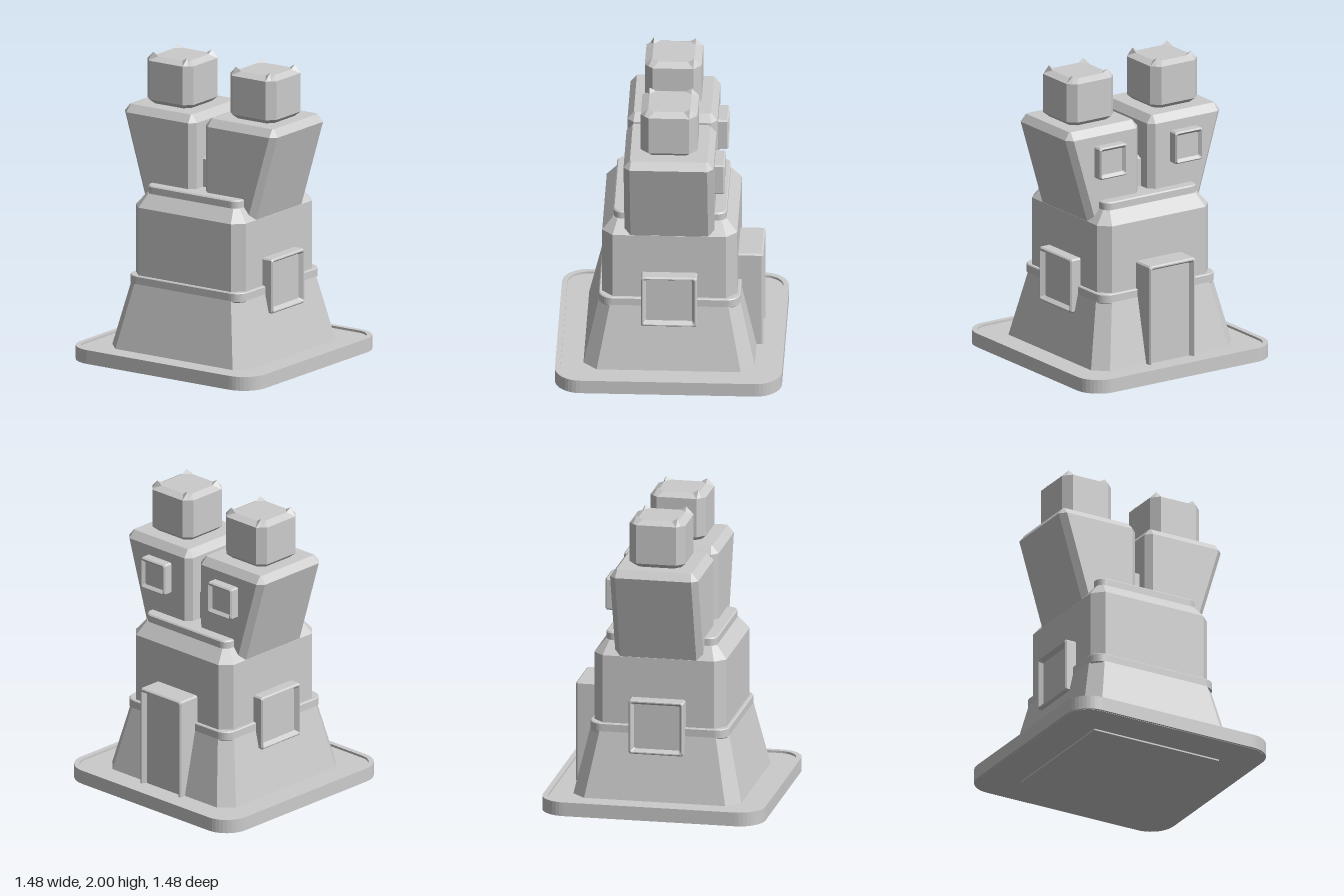
import * as THREE from 'three';

const material = new THREE.MeshStandardMaterial({ color: 0xcccccc, flatShading: true });

// Rectangle with cut corners at height y, three points per corner.
// A lift raises the corner points into peaks.
function ring(y, hx, z0, z1, c, lift = 0) {
  const zc = (z0 + z1) / 2, hz = (z1 - z0) / 2, pts = [];
  const m = lift ? 0 : c / 2;
  for (const [sx, sz] of [[1, 1], [1, -1], [-1, -1], [-1, 1]]) {
    const a = new THREE.Vector3(sx * (hx - c), y, zc + sz * hz);
    const mid = new THREE.Vector3(sx * (hx - m), y + lift, zc + sz * (hz - m));
    const b = new THREE.Vector3(sx * hx, y, zc + sz * (hz - c));
    pts.push(...(sx * sz > 0 ? [a, mid, b] : [b, mid, a]));
  }
  return pts;
}

// Skin a stack of rings and cap both ends.
function loft(rings) {
  const tris = [], n = rings[0].length;
  for (let k = 0; k < rings.length - 1; k++) {
    const lo = rings[k], hi = rings[k + 1];
    for (let i = 0; i < n; i++) {
      const j = (i + 1) % n;
      tris.push(lo[i], lo[j], hi[j], lo[i], hi[j], hi[i]);
    }
  }
  const first = rings[0], last = rings[rings.length - 1];
  for (let i = 1; i < n - 1; i++) {
    tris.push(last[0], last[i], last[i + 1], first[0], first[i + 1], first[i]);
  }
  const g = new THREE.BufferGeometry().setFromPoints(tris);
  g.computeVertexNormals();
  return g;
}

function roundedRect(h, r, Type = THREE.Shape) {
  const s = new Type();
  s.moveTo(-h + r, -h);
  s.lineTo(h - r, -h);
  s.absarc(h - r, -h + r, r, -Math.PI / 2, 0);
  s.lineTo(h, h - r);
  s.absarc(h - r, h - r, r, 0, Math.PI / 2);
  s.lineTo(-h + r, h);
  s.absarc(-h + r, h - r, r, Math.PI / 2, Math.PI);
  s.lineTo(-h, -h + r);
  s.absarc(-h + r, -h + r, r, Math.PI, Math.PI * 1.5);
  return s;
}

// Rounded square slab from y0 to y1, optionally with a square opening.
function slab(h, r, y0, y1, bevel = 0, hole = 0) {
  const s = roundedRect(h - bevel, r - bevel);
  if (hole) s.holes.push(roundedRect(hole, r - (h - hole), THREE.Path));
  const g = new THREE.ExtrudeGeometry(s, {
    depth: y1 - y0 - 2 * bevel, curveSegments: 5, bevelEnabled: bevel > 0,
    bevelSize: bevel, bevelThickness: bevel, bevelSegments: 1,
  });
  return g.rotateX(-Math.PI / 2).translate(0, y0 + bevel, 0);
}

// Framed panel lying flat, its sunken face pointing up (+y).
function framedPanel(hx, hz, depth, rim, sink) {
  const r = (y, inset, c) => ring(y, hx - inset, -hz + inset, hz - inset, c);
  return loft([
    r(0, 0, 0.01), r(depth - 0.01, 0, 0.01), r(depth, 0.008, 0.01),
    r(depth, rim, 0.008), r(depth - sink, rim + 0.018, 0.006),
  ]);
}

export function createModel() {
  const model = new THREE.Group();
  const add = (name, geometry, parent = model) => {
    const m = new THREE.Mesh(geometry, material);
    m.name = name;
    parent.add(m);
    return m;
  };

  // Ground plate with a raised rim and a square foot
  add('foot', new THREE.BoxGeometry(0.94, 0.03, 0.94).translate(0, 0.015, 0));
  add('basePlate', slab(0.725, 0.155, 0.01, 0.09));
  add('baseRim', slab(0.74, 0.17, 0.012, 0.105, 0, 0.705));

  // Flared skirt, band and main body
  add('skirt', loft([
    ring(0.06, 0.565, -0.565, 0.565, 0.09),
    ring(0.52, 0.462, -0.462, 0.462, 0.075),
  ]));
  add('band', slab(0.462, 0.09, 0.51, 0.575, 0.006));
  add('body', loft([
    ring(0.55, 0.44, -0.44, 0.44, 0.07),
    ring(1.03, 0.44, -0.44, 0.44, 0.07),
    ring(1.115, 0.37, -0.37, 0.37, 0.03),
  ]));
  add('roofSlab', slab(0.37, 0.06, 1.1, 1.168, 0.008));

  // Block joining the two towers
  add('centreBlock', loft([
    ring(1.1, 0.185, -0.18, 0.18, 0.05),
    ring(1.355, 0.185, -0.18, 0.18, 0.05),
    ring(1.38, 0.135, -0.13, 0.13, 0.035),
  ]));

  // Leaning towers with notched chimneys and one window each
  for (const [name, turn] of [['front', 1], ['back', -1]]) {
    const z = (a, b) => (turn > 0 ? [a, b] : [-b, -a]);
    const tower = new THREE.Group();
    tower.name = name + 'Tower';
    model.add(tower);
    add('towerBody', loft([
      ring(1.0, 0.293, ...z(0.037, 0.43), 0.04),
      ring(1.61, 0.293, ...z(0.037, 0.612), 0.04),
      ring(1.66, 0.252, ...z(0.077, 0.575), 0.008),
    ]), tower);
    add('chimney', loft([
      ring(1.65, 0.14, ...z(0.192, 0.472), 0.035),
      ring(1.69, 0.185, ...z(0.147, 0.517), 0.052),
      ring(1.95, 0.185, ...z(0.147, 0.517), 0.052),
      ring(1.975, 0.137, ...z(0.195, 0.469), 0.04, 0.025),
      ring(1.975, 0.137, ...z(0.195, 0.469), 0.04),
    ]), tower);
    const w = add('towerWindow', framedPanel(0.108, 0.108, 0.1, 0.01, 0.02), tower);
    w.rotation.z = -Math.PI / 2;
    w.position.set(0.26, 1.437, turn * 0.3);

    // Large window on the body below
    const big = add(name + 'Window', framedPanel(0.183, 0.183, 0.16, 0.015, 0.03));
    big.rotation.x = turn * Math.PI / 2;
    big.position.set(0, 0.577, turn * 0.358);
  }

  // Door projecting from the left side
  const door = add('door', framedPanel(0.355, 0.182, 0.25, 0.016, 0.03));
  door.rotation.z = -Math.PI / 2;
  door.position.set(0.352, 0.405, 0);

  return model;
}
